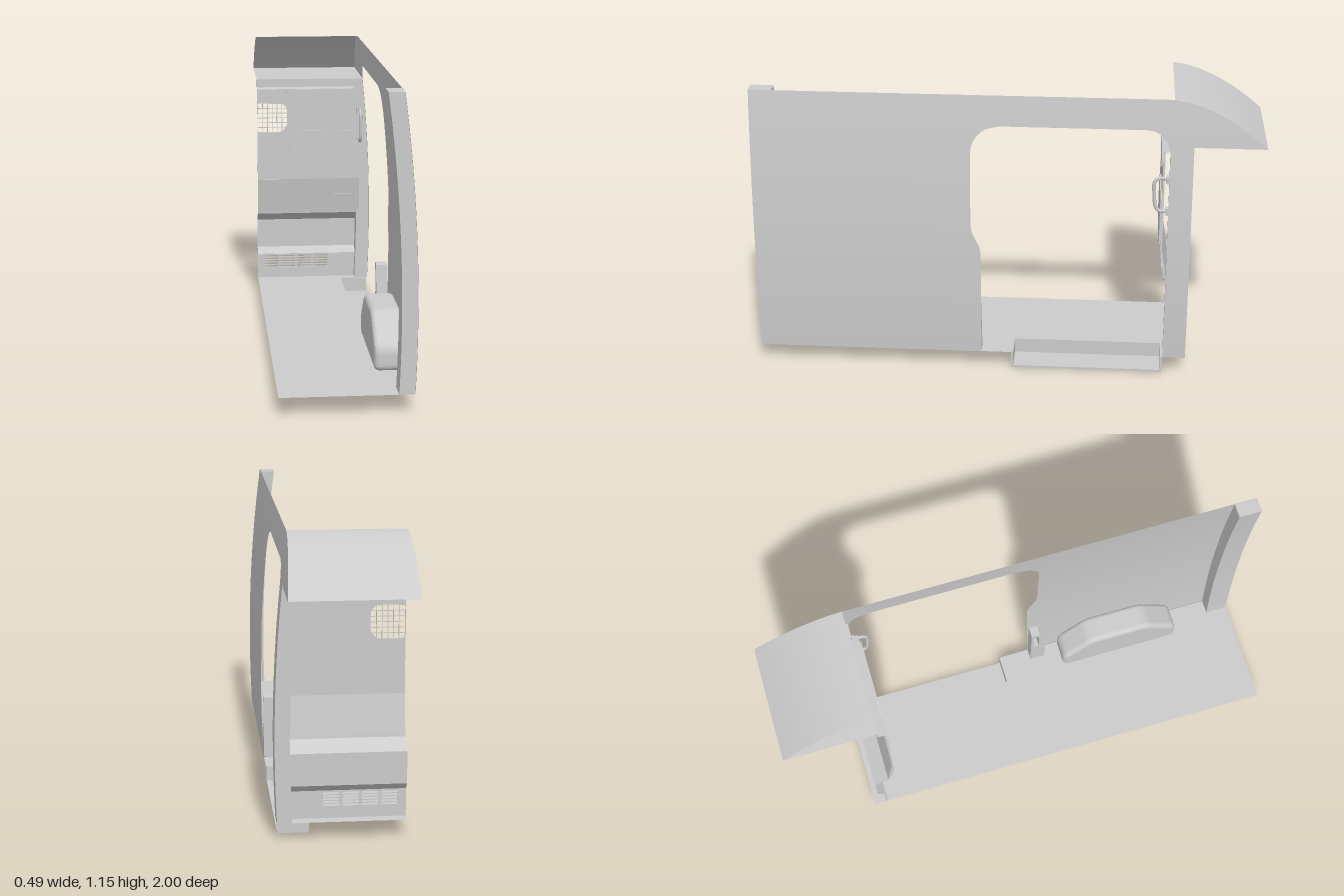
import * as THREE from 'three';

const mat = new THREE.MeshStandardMaterial({ color: 0xcccccc, side: THREE.DoubleSide });
const FLOOR = 0.07, TOP = 1.155, SHELF = 0.97, LEFT = -0.25;
const range = (n, f) => Array.from({ length: n + 1 }, (_, i) => f(i / n));
const lerp = THREE.MathUtils.lerp;

// Bowed outline of the side wall
const outerX = (y) => 0.245 - 0.085 * (y - 0.36) ** 2;

// Piecewise linear lookup through [key, value] pairs
function lookup(table, k) {
  if (k <= table[0][0]) return table[0][1];
  for (let i = 1; i < table.length; i++) {
    const [a, va] = table[i - 1], [b, vb] = table[i];
    if (k <= b) return lerp(va, vb, (k - a) / (b - a));
  }
  return table[table.length - 1][1];
}

// Sheet between two equally long lines of points
function ribbon(a, b) {
  const pos = [], idx = [];
  a.forEach((p, i) => {
    pos.push(...p, ...b[i]);
    if (i) { const k = 2 * i; idx.push(k - 2, k - 1, k, k - 1, k + 1, k); }
  });
  const g = new THREE.BufferGeometry();
  g.setAttribute('position', new THREE.Float32BufferAttribute(pos, 3));
  g.setIndex(idx);
  g.computeVertexNormals();
  return g;
}

// Closed outline with softened corners
function rounded(pts, r, target = new THREE.Shape()) {
  const v = pts.map((p) => new THREE.Vector2(...p)), n = v.length;
  v.forEach((p, i) => {
    const toward = (q) => p.clone().lerp(q, Math.min(0.45, r / p.distanceTo(q)));
    const a = toward(v[(i + n - 1) % n]), b = toward(v[(i + 1) % n]);
    if (i) target.lineTo(a.x, a.y); else target.moveTo(a.x, a.y);
    target.quadraticCurveTo(p.x, p.y, b.x, b.y);
  });
  target.closePath();
  return target;
}
const rect = (x0, y0, x1, y1) => [[x0, y0], [x1, y0], [x1, y1], [x0, y1]];
const polygon = (pts) => new THREE.Shape(pts.map((p) => new THREE.Vector2(...p)));
const extrude = (shape, depth) =>
  new THREE.ExtrudeGeometry(shape, { depth, bevelEnabled: false, curveSegments: 6 });

// Depth of the bulkhead at each height
const bulkheadZ = [[0.07, -0.665], [0.178, -0.665], [0.205, -0.69], [0.33, -0.69], [0.37, -0.632],
  [0.385, -0.63], [0.53, -0.605], [0.93, -0.605], [0.935, -0.635], [0.97, -0.635]];
function pressed(shape, depth, offset) {
  const g = extrude(shape, depth), p = g.attributes.position;
  for (let i = 0; i < p.count; i++) p.setZ(i, p.getZ(i) + offset + lookup(bulkheadZ, p.getY(i)));
  g.computeVertexNormals();
  return g;
}

export function createModel() {
  const model = new THREE.Group();
  const add = (name, geo, parent = model) => {
    const m = new THREE.Mesh(geo, mat);
    m.name = name;
    parent.add(m);
    return m;
  };
  const group = (name) => {
    const g = new THREE.Group();
    g.name = name;
    model.add(g);
    return g;
  };
  const box = (name, x0, x1, y0, y1, z0, z1, parent) =>
    add(name, new THREE.BoxGeometry(x1 - x0, y1 - y0, z1 - z0), parent)
      .position.set((x0 + x1) / 2, (y0 + y1) / 2, (z0 + z1) / 2);

  // Side wall around the door opening
  const hood = [[0.97, -1], [1.0, -0.965], [1.035, -0.92], [1.075, -0.86], [1.11, -0.795],
    [1.135, -0.735], [1.15, -0.68], [1.155, -0.64]];
  const doorTop = 1.035;
  const corner = (y, r) => (y > doorTop - r ? r - Math.sqrt(Math.max(0, r * r - (y - doorTop + r) ** 2)) : 0);
  const rearEdge = (y) => lookup([[0.51, 0.1], [0.54, 0.106], [0.6, 0.135], [0.63, 0.14]], y) - corner(y, 0.11);
  const frontEdge = (y) => -0.63 + corner(y, 0.095);
  const wallFront = (y) => (y < SHELF ? -0.72 : lookup(hood, y));
  const wall = group('sideWall');
  const side = (name, y0, y1, n, za, zb) => {
    const ys = range(n, (t) => lerp(y0, y1, t));
    add(name, ribbon(ys.map((y) => [outerX(y), y, za(y)]), ys.map((y) => [outerX(y), y, zb(y)])), wall);
  };
  side('rearWall', FLOOR, doorTop, 80, () => 1, rearEdge);
  side('frontWall', FLOOR, SHELF - 1e-4, 30, frontEdge, wallFront);
  side('frontWallTop', SHELF, doorTop, 16, frontEdge, wallFront);
  side('header', doorTop, TOP, 16, () => 1, wallFront);

  // Curved pillars at both ends of the wall
  const post = (name, y1, z0, z1) => {
    const ys = range(20, (t) => lerp(FLOOR, y1, t));
    const pts = [...ys.map((y) => [outerX(y) - 0.001, y]), ...ys.reverse().map((y) => [outerX(y) - 0.058, y])];
    add(name, extrude(polygon(pts), z1 - z0).translate(0, 0, z0));
  };
  post('rearPillar', TOP, 0.91, 1);
  post('frontPillar', SHELF, -0.72, -0.631);

  // Floor with a cut-out for the step
  const out = 0.236, sx = 0.11, s0 = -0.63, s1 = -0.02;
  const floorPts = [[LEFT, -1], [out, -1], [out, -s1], [sx, -s1], [sx, -s0], [out, -s0], [out, 0.72], [LEFT, 0.72]];
  add('floor', new THREE.ShapeGeometry(polygon(floorPts)).rotateX(-Math.PI / 2).translate(0, FLOOR, 0));

  // Sunken step, open to the outside
  const step = group('step');
  box('stepTread', sx + 0.006, 0.233, 0, 0.009, s0, s1, step);
  box('stepRiser', sx, sx + 0.009, 0.006, FLOOR, s0, s1, step);
  for (const z of [s0, s1 - 0.008]) box('stepEnd', sx, 0.233, 0.004, FLOOR, z, z + 0.008, step);

  // Wheel arch with softened inner edge
  const arch = rounded([[0.23, 0.07], [0.23, 0.16], [0.35, 0.27], [0.6, 0.27], [0.74, 0.165], [0.74, 0.07]], 0.03);
  const archGeo = new THREE.ExtrudeGeometry(arch, {
    depth: 0.075, bevelThickness: 0.02, bevelSize: 0.02, bevelOffset: -0.02, bevelSegments: 4, curveSegments: 6,
  });
  add('wheelArch', archGeo.rotateY(-Math.PI / 2).translate(0.215, 0, 0));

  // Short trim post behind the door, with a slot in its inner side
  const trim = rounded([[0.1, 0.07], [0.165, 0.07], [0.165, 0.16], [0.145, 0.33], [0.105, 0.33]], 0.006);
  trim.holes.push(rounded(rect(0.115, 0.21, 0.138, 0.31), 0.008, new THREE.Path()));
  add('doorTrim', extrude(trim, 0.045).rotateY(-Math.PI / 2).translate(0.236, 0, 0));

  // Curved hood and flat shelf above the bulkhead
  const hoodPts = new THREE.CatmullRomCurve3(hood.map(([y, z]) => new THREE.Vector3(0, y, z))).getPoints(28);
  add('hood', ribbon(hoodPts.map((p) => [LEFT, p.y, p.z]), hoodPts.map((p) => [outerX(p.y), p.y, p.z])));
  const shelfX = outerX(SHELF);
  add('shelf', ribbon([[LEFT, SHELF, -1], [LEFT, SHELF, -0.635]], [[shelfX, SHELF, -1], [shelfX, SHELF, -0.635]]));

  // Bulkhead: stacked bands following the pressed profile
  const bulkhead = group('bulkhead');
  const win = [LEFT + 0.001, 0.74, -0.12, 0.87];
  for (let i = 1; i < bulkheadZ.length; i++) {
    const y0 = bulkheadZ[i - 1][0], y1 = bulkheadZ[i][0];
    const edge = (y) => outerX(y) - 0.045;
    const band = polygon([[LEFT, y0], [edge(y0), y0], [edge(y1), y1], [LEFT, y1]]);
    if (y0 === 0.53) band.holes.push(rounded([[win[0], win[1]], [-0.145, win[1]], [-0.12, 0.765],
      [-0.12, 0.845], [-0.145, win[3]], [win[0], win[3]]], 0.012, new THREE.Path()));
    if (i === 1) {
      for (let c = 0; c < 4; c++) for (let r = 0; r < 5; r++) {
        const x = -0.22 + c * 0.073, y = 0.117 + r * 0.0115;
        band.holes.push(rounded(rect(x, y, x + 0.063, y + 0.0075), 0.003, new THREE.Path()));
      }
    }
    add('bulkheadBand', pressed(band, 0.008, -0.008), bulkhead);
  }

  // Raised pads on the bulkhead
  const pads = {
    upperPad: [[-0.122, 0.929], [-0.12, 0.905], [-0.07, 0.86], [0.165, 0.86], [0.165, 0.9], [0.148, 0.929]],
    middlePad: [[0.18, 0.745], [-0.07, 0.745], [-0.1, 0.71], [-0.125, 0.605], [-0.06, 0.535], [0.19, 0.535]],
    lowerPad: [[LEFT, 0.529], [-0.155, 0.529], [-0.02, 0.387], [LEFT, 0.387]],
    smallPad: [[0.19, 0.46], [0.03, 0.46], [0.085, 0.387], [0.19, 0.387]],
  };
  for (const [name, pts] of Object.entries(pads)) add(name, pressed(rounded(pts, 0.018), 0.006, 0), bulkhead);

  // Vent surround
  const frame = polygon(rect(LEFT, 0.108, 0.12, 0.177));
  frame.holes.push(new THREE.Path(rect(LEFT + 0.02, 0.114, 0.07, 0.173).map((p) => new THREE.Vector2(...p))));
  add('ventFrame', pressed(frame, 0.004, 0), bulkhead);

  // Wire mesh in the window
  const grille = group('windowMesh');
  for (let x = LEFT + 0.022; x < -0.125; x += 0.021) box('meshBar', x, x + 0.003, win[1], win[3], -0.611, -0.608, grille);
  for (let y = win[1] + 0.02; y < win[3]; y += 0.021) box('meshBar', LEFT, win[2], y, y + 0.003, -0.611, -0.608, grille);

  // Grab handle on the front pillar
  const handle = group('grabHandle');
  const path = [[0.83, -0.635], [0.835, -0.595], [0.822, -0.575], [0.765, -0.574], [0.712, -0.582],
    [0.698, -0.598], [0.697, -0.635]].map(([y, z]) => new THREE.Vector3(0.2, y, z));
  add('grip', new THREE.TubeGeometry(new THREE.CatmullRomCurve3(path), 40, 0.007, 8), handle);
  for (const y of [0.697, 0.83]) box('handleMount', 0.188, 0.212, y - 0.014, y + 0.014, -0.635, -0.618, handle);

  return model;
}
